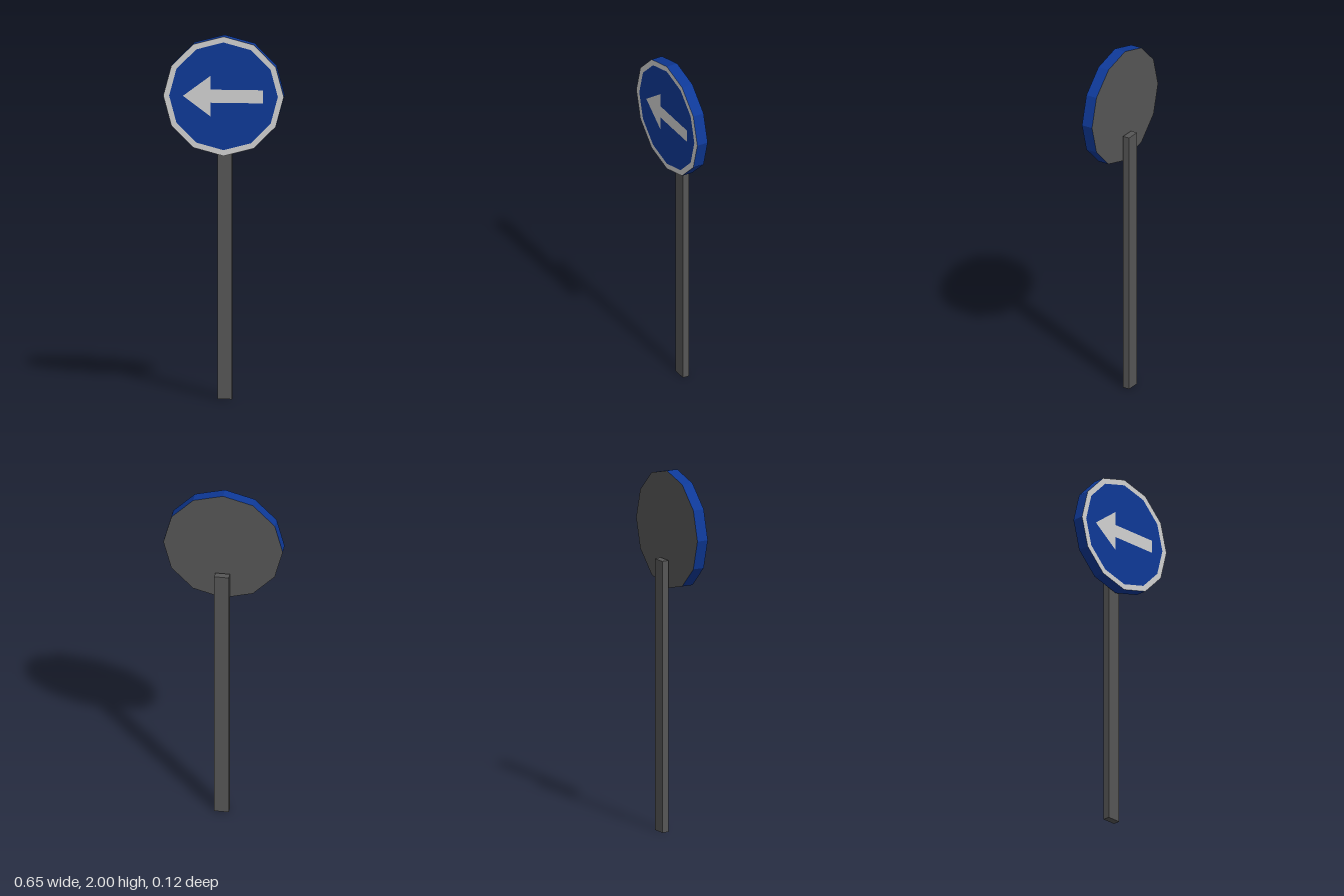
import * as THREE from 'three';

const SIDES = 12, RADIUS = 0.327, INNER = 0.295, CENTER_Y = 1.673;
const FRONT = 0.0585, BACK = -0.0065;

// Corners of the twelve-sided plate, with one corner straight up
function polygon(radius) {
  return Array.from({ length: SIDES }, (_, i) => {
    const a = Math.PI / 2 + (i / SIDES) * Math.PI * 2;
    return new THREE.Vector2(radius * Math.cos(a), radius * Math.sin(a));
  });
}

export function createModel() {
  const mat = (name, color) => {
    const m = new THREE.MeshStandardMaterial({ color });
    m.name = name;
    return m;
  };
  const blue = mat('signBlue', 0x0e3998);
  const white = mat('paleGrey', 0xd2d2d2);
  const grey = mat('postGrey', 0x565656);

  const model = new THREE.Group();
  model.name = 'directionSign';
  const sign = new THREE.Group();
  sign.name = 'signPlate';
  sign.position.y = CENTER_Y;
  model.add(sign);

  const add = (parent, name, geometry, material, x = 0, y = 0, z = 0) => {
    const mesh = new THREE.Mesh(geometry, material);
    mesh.name = name;
    mesh.position.set(x, y, z);
    parent.add(mesh);
    return mesh;
  };
  const face = (points, hole) => {
    const shape = new THREE.Shape(points);
    if (hole) shape.holes.push(new THREE.Path(hole));
    return new THREE.ShapeGeometry(shape);
  };

  // Faceted edge of the plate
  const rim = new THREE.CylinderGeometry(RADIUS, RADIUS, FRONT - BACK, SIDES, 1, true)
    .rotateX(Math.PI / 2).toNonIndexed();
  rim.computeVertexNormals();
  add(sign, 'plateEdge', rim, blue, 0, 0, (FRONT + BACK) / 2);

  // Front: border, blue field and arrow fit together in one plane
  const arrow = [
    [-0.22, 0], [-0.07, -0.112], [-0.07, -0.036], [0.215, -0.036],
    [0.215, 0.036], [-0.07, 0.036], [-0.07, 0.112],
  ].map(([x, y]) => new THREE.Vector2(x, y));
  add(sign, 'border', face(polygon(RADIUS), polygon(INNER)), white, 0, 0, FRONT);
  add(sign, 'field', face(polygon(INNER), arrow), blue, 0, 0, FRONT);
  add(sign, 'arrow', face(arrow), white, 0, 0, FRONT);

  // Plain back of the plate
  add(sign, 'plateBack', face(polygon(RADIUS)), grey, 0, 0, BACK).rotation.y = Math.PI;

  // Post standing just behind the plate
  add(model, 'post', new THREE.BoxGeometry(0.08, 1.51, 0.039), grey, 0, 0.755, -0.039);

  return model;
}
